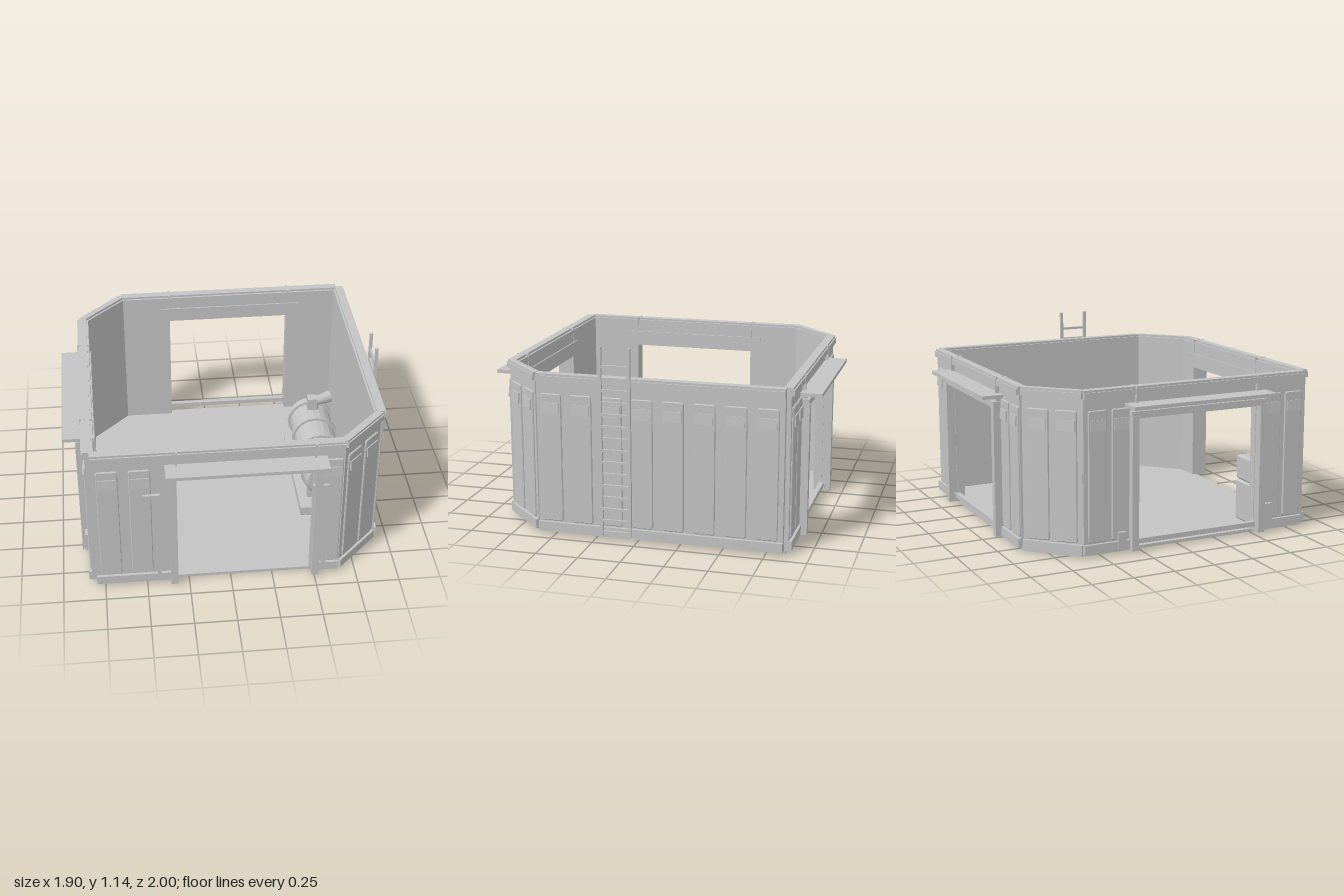
import * as THREE from 'three';

const grey = new THREE.MeshStandardMaterial({ color: 0xc3c3c3 });
grey.name = 'light grey paint';

function add(parent, name, geo, x = 0, y = 0, z = 0) {
  const m = new THREE.Mesh(geo, grey);
  m.name = name;
  m.position.set(x, y, z);
  parent.add(m);
  return m;
}

// Box given by its limits on each axis
function box(parent, name, x0, x1, y0, y1, z0, z1) {
  return add(parent, name, new THREE.BoxGeometry(x1 - x0, y1 - y0, z1 - z0),
    (x0 + x1) / 2, (y0 + y1) / 2, (z0 + z1) / 2);
}

// Box with bevelled edges
function bevelBox(parent, name, x0, x1, y0, y1, z0, z1, b = 0.012) {
  const s = new THREE.Shape();
  s.moveTo(x0 + b, -z1 + b);
  s.lineTo(x1 - b, -z1 + b);
  s.lineTo(x1 - b, -z0 - b);
  s.lineTo(x0 + b, -z0 - b);
  const g = new THREE.ExtrudeGeometry(s, { depth: y1 - y0 - 2 * b, bevelThickness: b, bevelSize: b, bevelSegments: 1 });
  g.rotateX(-Math.PI / 2);
  return add(parent, name, g, 0, y0 + b, 0);
}

// Cylinder between two points
function rod(parent, name, a, b, r0, r1 = r0, sides = 12) {
  const p = new THREE.Vector3(...a), q = new THREE.Vector3(...b);
  const m = add(parent, name, new THREE.CylinderGeometry(r1, r0, p.distanceTo(q), sides));
  m.position.copy(p).lerp(q, 0.5);
  m.quaternion.setFromUnitVectors(new THREE.Vector3(0, 1, 0), q.sub(p).normalize());
  return m;
}

// Raised wall panel with slightly rounded corners and a small plate near its top
function panel(wall, x, w) {
  const h = 0.755, r = 0.006, x0 = -w / 2 + 0.004, x1 = -x0;
  const s = new THREE.Shape();
  s.moveTo(x0 + r, 0);
  s.lineTo(x1 - r, 0); s.lineTo(x1, r);
  s.lineTo(x1, h - r); s.lineTo(x1 - r, h);
  s.lineTo(x0 + r, h); s.lineTo(x0, h - r);
  s.lineTo(x0, r);
  const g = new THREE.ExtrudeGeometry(s, { depth: 0.008, bevelThickness: 0.004, bevelSize: 0.004, bevelSegments: 1 });
  add(wall, 'wallPanel', g, x, 0.087, -0.02);
  const plate = add(wall, 'panelPlate', new THREE.BoxGeometry(w - 0.022, 0.062, 0.008), x, 0.762, -0.003);
  plate.rotation.x = -0.07;
}

// Wall in its own frame: x along it, z outward, z = 0 on the outer rail face
function makeWall(root, name, [px, pz], angle, x0, x1, panels, panelWidth, opening, depth = 0.07) {
  const wall = new THREE.Group();
  wall.name = name;
  wall.position.set(px, 0, pz);
  wall.rotation.y = angle;
  root.add(wall);
  const spans = opening ? [[x0, opening[0]], [opening[1], x1]] : [[x0, x1]];
  for (const [a, b] of spans) {
    box(wall, 'wallCore', a, b, 0.015, 0.95, -depth, -0.018);
    box(wall, 'bottomRail', a, b, 0.02, 0.075, -0.03, 0);
  }
  box(wall, 'topRail', x0, x1, 0.915, 0.95, -0.03, 0);
  box(wall, 'topCap', x0, x1, 0.95, 0.963, -depth + 0.012, -0.008);
  panels.forEach((x) => panel(wall, x, panelWidth));
  if (!opening) return wall;

  // Doorway: lintel, frame and canopy
  const [a, b] = opening;
  box(wall, 'lintel', a, b, 0.775, 0.95, -depth, -0.018);
  box(wall, 'doorBeam', a - 0.045, b + 0.045, 0.79, 0.828, -0.018, 0.032);
  box(wall, 'doorBeamUpper', a - 0.03, b + 0.03, 0.828, 0.85, -0.018, 0.012);
  box(wall, 'canopy', a - 0.067, b + 0.067, 0.85, 0.871, -0.018, 0.108);
  box(wall, 'innerLedge', a - 0.067, b + 0.067, 0.85, 0.871, -depth - 0.008, -depth + 0.01);
  for (const x of [a - 0.045, b + 0.003]) box(wall, 'doorPost', x, x + 0.042, 0.015, 0.8, -0.02, 0.035);
  for (const x of [a, b]) box(wall, 'jointStrip', x - 0.005, x + 0.005, 0.871, 0.964, -depth - 0.003, 0.003);
  return wall;
}

export function createModel() {
  const root = new THREE.Group();
  root.name = 'walledYard';
  const P = Math.PI;

  // Floor slab with two cut corners
  const f = new THREE.Shape([[-0.8, -0.85], [0.65, -0.85], [0.89, -0.61], [0.89, 0.86], [-0.56, 0.86], [-0.8, 0.61]]
    .map(([x, y]) => new THREE.Vector2(x, y)));
  const fg = new THREE.ExtrudeGeometry(f, { depth: 0.018, bevelEnabled: false });
  fg.rotateX(-P / 2);
  add(root, 'floor', fg);

  // Walls round the floor
  const front = makeWall(root, 'frontWall', [0, 0.888], 0, -0.8, 0.645, [-0.71, -0.525, 0.58], 0.125, [-0.315, 0.478]);
  const back = makeWall(root, 'backWall', [0, -0.892], P, -0.885, 0.555, [-0.8, -0.66, 0.34, 0.49], 0.115, [-0.555, 0.235]);
  const left = makeWall(root, 'leftWall', [-0.845, 0], -P / 2, -0.605, 0.838, [-0.52, -0.375, 0.62, 0.765], 0.115, [-0.28, 0.51]);
  const eight = Array.from({ length: 8 }, (_, i) => -0.512 + i * 0.181);
  const right = makeWall(root, 'rightWall', [0.935, 0], P / 2, -0.6, 0.848, eight, 0.125);
  makeWall(root, 'frontCornerWall', [0.79, 0.75], P / 4, -0.178, 0.178, [-0.085, 0.085], 0.13, null, 0.06);
  makeWall(root, 'backCornerWall', [-0.702, -0.747], -3 * P / 4, -0.182, 0.182, [-0.085, 0.085], 0.13, null, 0.06);

  // Sill rails across the back and left doorways
  box(back, 'sillRail', -0.555, 0.235, 0.043, 0.072, -0.035, -0.005);
  box(left, 'sillRail', -0.28, 0.51, 0.043, 0.072, -0.035, -0.005);
  // Upright handles beside the front doorway
  for (const x of [-0.425, 0.553]) {
    box(front, 'handleRod', x - 0.012, x + 0.012, 0.05, 0.66, -0.015, 0.008);
    box(front, 'handleArm', x - 0.085, x + 0.012, 0.65, 0.673, -0.012, 0.008);
  }
  // Small boxes beside the left doorway
  box(left, 'controlBox', -0.40, -0.35, 0.03, 0.13, -0.02, 0.01);
  box(left, 'controlBox', 0.565, 0.62, 0.06, 0.18, -0.02, 0.015);

  // Ladder on the outside of the right wall
  const ladder = new THREE.Group();
  ladder.name = 'ladder';
  right.add(ladder);
  for (const x of [-0.207, -0.037]) box(ladder, 'ladderRail', x - 0.009, x + 0.009, 0.03, 1.14, -0.002, 0.016);
  for (let i = 0; i < 15; i++) {
    const y = 0.05 + i * 0.07;
    box(ladder, 'rung', -0.2, -0.044, y - 0.007, y + 0.007, 0, 0.013);
  }

  // Horizontal tank on a plinth
  const tank = new THREE.Group();
  tank.name = 'tank';
  tank.position.x = 0.648;
  root.add(tank);
  bevelBox(tank, 'tankPlinth', -0.152, 0.152, 0.015, 0.1, -0.38, 0.38, 0.015);
  const profile = [[0, -0.365], [0.11, -0.365], [0.131, -0.345], [0.131, 0.345], [0.11, 0.365], [0, 0.365]]
    .map(([r, y]) => new THREE.Vector2(r, y));
  const body = new THREE.LatheGeometry(profile, 20).toNonIndexed();
  body.computeVertexNormals();
  body.rotateX(P / 2);
  add(tank, 'tankBody', body, 0, 0.29, 0);
  for (const z of [-0.29, -0.1, 0.087, 0.28]) {
    rod(tank, 'tankBand', [0, 0.29, z - 0.014], [0, 0.29, z + 0.014], 0.146, 0.146, 20);
    box(tank, 'tankSaddle', -0.1, 0.1, 0.09, 0.19, z - 0.014, z + 0.014);
  }
  // Two valves with flared barrels on top
  for (const z of [-0.235, 0.285]) {
    const v = new THREE.Group();
    v.name = 'valve';
    v.position.set(0, 0.405, z);
    tank.add(v);
    rod(v, 'valveNeck', [0.01, 0, 0], [0.01, 0.06, 0], 0.035, 0.03);
    rod(v, 'valveBarrel', [-0.03, 0.07, 0.03], [0.115, 0.07, -0.035], 0.022, 0.04);
    box(v, 'valveBlock', -0.035, 0.025, 0.03, 0.11, -0.01, 0.05);
  }
  rod(tank, 'drainSpout', [-0.01, 0.47, 0.335], [-0.062, 0.43, 0.42], 0.018, 0.01, 8);

  // Pair of stacked cabinets in the front left corner
  for (const z of [0.545, 0.66]) {
    bevelBox(root, 'cabinetBase', -0.725, -0.562, 0.015, 0.27, z, z + 0.112);
    bevelBox(root, 'cabinetTop', -0.722, -0.565, 0.27, 0.425, z + 0.002, z + 0.11);
  }
  return root;
}
